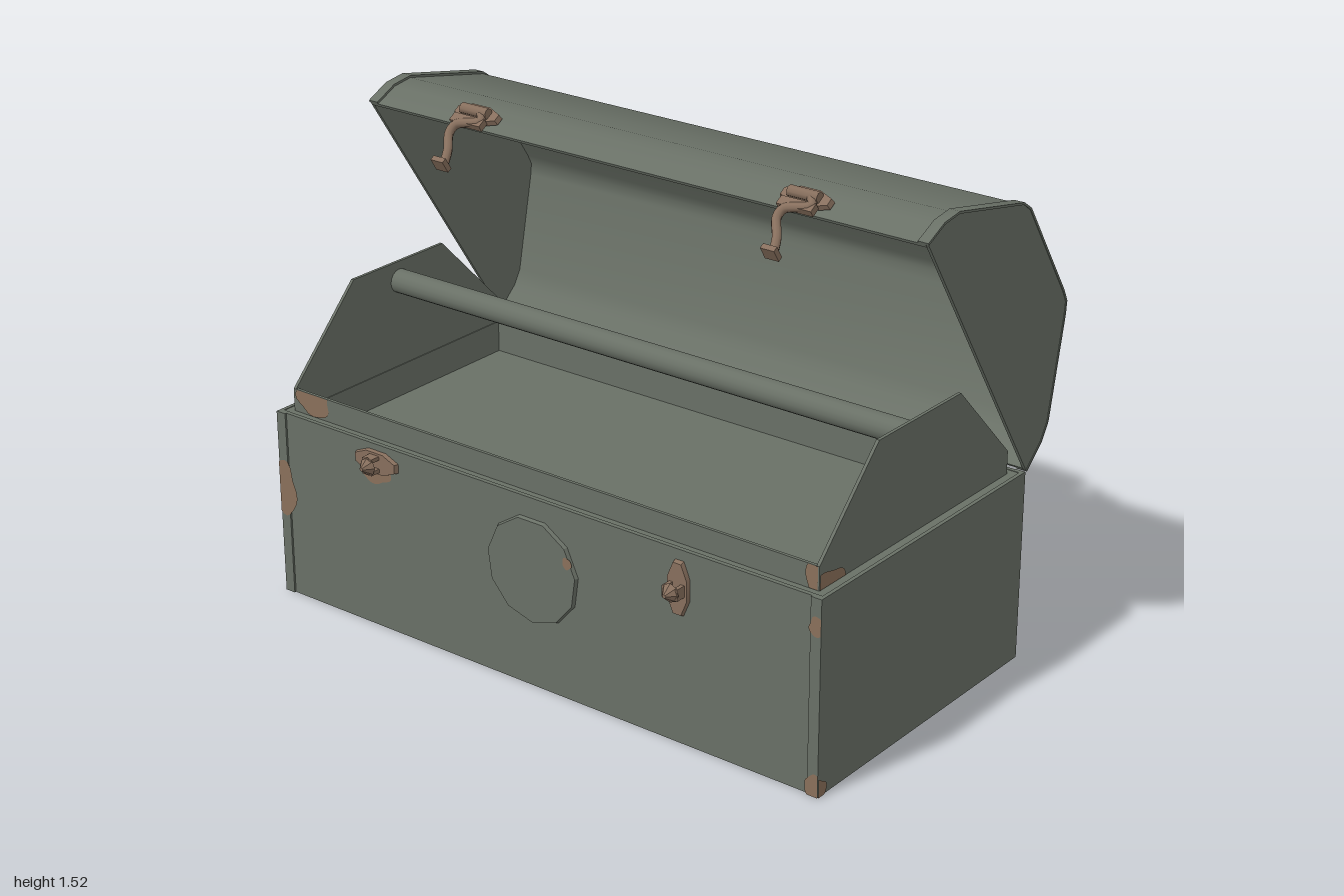
import * as THREE from 'three';
import { toCreasedNormals } from 'three/addons/utils/BufferGeometryUtils.js';

const mat = (name, color) => {
  const m = new THREE.MeshStandardMaterial({ color });
  m.name = name;
  return m;
};

export function createModel() {
  const green = mat('green paint', 0x697066);
  const brass = mat('worn metal', 0x876f5d);
  const tan = mat('worn grip', 0x877460);
  const red = mat('red grip', 0xc5302f);
  const cap = mat('grip cap', 0x636b61);
  const rust = mat('rust', 0x8a705a);
  const darkRust = mat('dark rust', 0x8c604e);

  const model = new THREE.Group();
  const add = (name, geo, material, parent = model) => {
    const m = new THREE.Mesh(geo, material);
    m.name = name;
    parent.add(m);
    return m;
  };
  const group = (name, x, y, z, parent = model) => {
    const g = new THREE.Group();
    g.name = name;
    g.position.set(x, y, z);
    parent.add(g);
    return g;
  };
  // box given by its minimum and maximum corners
  const box = (name, a, b, material = green, parent = model) => {
    const g = new THREE.BoxGeometry(b[0] - a[0], b[1] - a[1], b[2] - a[2]);
    g.translate((a[0] + b[0]) / 2, (a[1] + b[1]) / 2, (a[2] + b[2]) / 2);
    return add(name, g, material, parent);
  };
  // side profile of [z, y] points extruded along x
  const extrudeX = (pts, width, x = 0) => {
    const shape = new THREE.Shape(pts.map(p => new THREE.Vector2(...p)));
    const g = new THREE.ExtrudeGeometry(shape, { depth: width, bevelEnabled: false });
    g.translate(0, 0, -width / 2).rotateY(-Math.PI / 2).translate(x, 0, 0);
    return toCreasedNormals(g, 0.6);
  };
  const tube = (pts, r, seg = 24) => new THREE.TubeGeometry(
    new THREE.CatmullRomCurve3(pts.map(p => new THREE.Vector3(...p))), seg, r, 8);
  // long eight-sided plate with blunt ends, lying in xz
  const plate = (depth, thick) => toCreasedNormals(
    new THREE.CylinderGeometry(0.042, 0.045, thick, 8, 1, false, Math.PI / 8).scale(2, 1, depth), 0.5);

  // lower box
  box('boxFront', [-0.99, 0, 0.59], [0.99, 0.6, 0.604]);
  box('boxBack', [-0.99, 0, -0.398], [0.99, 0.6, -0.386]);
  box('boxBottom', [-0.99, 0.004, -0.39], [0.99, 0.016, 0.6]);
  box('rimFront', [-0.99, 0.588, 0.56], [0.99, 0.598, 0.6]);
  box('rimBack', [-0.99, 0.588, -0.39], [0.99, 0.598, -0.35]);
  for (const s of [-1, 1]) {
    const strip = (name, x0, x1, y0, y1, z0, z1) =>
      box(name, [Math.min(s * x0, s * x1), y0, z0], [Math.max(s * x0, s * x1), y1, z1]);
    strip('boxEnd', 0.988, 1, 0, 0.6, -0.4, 0.61);
    strip('endFlangeFront', 0.965, 1, 0, 0.6, 0.6, 0.61);
    strip('endFlangeBack', 0.965, 1, 0, 0.6, -0.401, -0.39);
    strip('rimEnd', 0.95, 0.99, 0.588, 0.598, -0.39, 0.6);
  }

  // raised round plate on the front
  const disc = new THREE.CylinderGeometry(0.163, 0.168, 0.012, 11);
  disc.rotateX(Math.PI / 2).translate(0, 0.375, 0.609);
  add('frontDisc', toCreasedNormals(disc, 0.3), green);

  // inner tray with tall ends and a cross rod
  const trayEnd = [[0.57, 0.49], [0.57, 0.67], [0.305, 0.94], [-0.095, 0.94], [-0.36, 0.67], [-0.36, 0.49]];
  for (const s of [-1, 1]) add('trayEnd', extrudeX(trayEnd, 0.01, s * 0.958), green);
  box('trayFront', [-0.955, 0.49, 0.56], [0.955, 0.67, 0.57]);
  box('trayBack', [-0.955, 0.49, -0.36], [0.955, 0.67, -0.35]);
  box('trayFloor', [-0.955, 0.485, -0.355], [0.955, 0.495, 0.565]);
  const rod = new THREE.CylinderGeometry(0.038, 0.038, 1.91, 16);
  add('trayRod', rod.rotateZ(Math.PI / 2).translate(0, 0.877, 0.105), green);

  // open lid
  const lid = group('lid', 0, 0, 0);
  const profile = [[0.155, 1.455], [0.08, 1.492], [0.01, 1.502], [-0.32, 1.434], [-0.355, 1.41],
    [-0.56, 1.105], [-0.578, 1.07], [-0.574, 1.03], [-0.51, 0.72], [-0.48, 0.67], [-0.405, 0.603]];
  // moves the profile along its outward normals
  const offset = d => profile.map((p, i) => {
    const a = profile[Math.max(i - 1, 0)], b = profile[Math.min(i + 1, profile.length - 1)];
    const tz = b[0] - a[0], ty = b[1] - a[1], l = Math.hypot(tz, ty);
    return [p[0] + d * ty / l, p[1] - d * tz / l];
  });
  add('lidSkin', extrudeX([...profile, ...offset(-0.01).reverse()], 1.98), green, lid);
  for (const s of [-1, 1]) {
    add('lidEnd', extrudeX(offset(0.006), 0.01, s * 0.993), green, lid);
    add('lidEndFlange', extrudeX([...offset(0.007), ...profile.slice().reverse()], 0.034, s * 0.983), green, lid);
  }

  // hinges
  for (const x of [-0.6, 0.6]) {
    const h = group('hinge', x, 0.6, -0.4);
    add('hingeBarrel', new THREE.CylinderGeometry(0.011, 0.011, 0.2, 8).rotateZ(Math.PI / 2).translate(0, 0, -0.01), green, h);
    box('hingeLeafLower', [-0.1, -0.07, -0.004], [0.1, 0, 0.004], green, h);
    const leaf = box('hingeLeafUpper', [-0.1, 0, -0.008], [0.1, 0.08, -0.001], green, h);
    leaf.rotation.x = -0.85;
  }

  // carrying handle
  const handle = group('handle', 0, 1.13, -0.62, lid);
  // turned section along x; the slanted border follows a rule near x = 0.06
  const turned = (name, pts, material) => {
    const g = new THREE.LatheGeometry(pts.map(([x, r]) => new THREE.Vector2(r, x)), 16);
    g.rotateZ(-Math.PI / 2);
    const p = g.attributes.position;
    for (let i = 0; i < p.count; i++)
      if (Math.abs(p.getX(i) - 0.06) < 1e-4) p.setX(i, 0.06 + 0.5 * p.getZ(i));
    add(name, g, material, handle);
  };
  turned('gripCapRight', [[-0.345, 0], [-0.34, 0.03], [-0.325, 0.044], [-0.275, 0.049]], cap);
  turned('gripRight', [[-0.275, 0.049], [-0.18, 0.057]], tan);
  turned('gripMiddle', [[-0.18, 0.057], [-0.06, 0.06], [0.06, 0.059]], red);
  turned('gripLeft', [[0.06, 0.059], [0.18, 0.056], [0.275, 0.049]], tan);
  turned('gripCapLeft', [[0.275, 0.049], [0.325, 0.044], [0.34, 0.03], [0.345, 0]], cap);
  for (const s of [-1, 1]) {
    const path = [[0.32, 0, 0], [0.39, 0.005, 0.005], [0.422, 0.025, 0.025], [0.41, 0.07, 0.075],
      [0.395, 0.1, 0.105], [0.41, 0.125, 0.13], [0.455, 0.13, 0.137]];
    add('handleWire', tube(path.map(([x, y, z]) => [s * x, y, z]), 0.01), brass, handle);
    const foot = group('handleFoot', s * 0.455, 0.122, 0.145, handle);
    foot.rotation.x = -0.98;
    const dome = new THREE.SphereGeometry(0.026, 10, 6, 0, Math.PI * 2, 0, Math.PI / 2);
    add('footDome', dome.scale(1.2, 1, 1), cap, foot);
    add('footPlate', new THREE.CylinderGeometry(0.04, 0.045, 0.012, 8).scale(1.1, 1, 0.7), brass, foot);
  }

  // lid latches: base plate, knuckle, claw and bent arm with hook
  for (const x of [-0.595, 0.585]) {
    const l = group('lidLatch', x, 1.488, 0.125, lid);
    l.rotation.x = 0.57;
    add('latchPlate', plate(0.75, 0.016), brass, l);
    add('latchKnuckle', new THREE.CylinderGeometry(0.017, 0.017, 0.1, 8).rotateZ(Math.PI / 2).translate(0, 0.016, 0), brass, l);
    add('latchArm', tube([[0.02, 0.016, 0], [0.04, 0.014, 0.03], [-0.035, 0.012, 0.06], [-0.04, 0.009, 0.09],
      [-0.005, 0.004, 0.15], [0.015, 0, 0.205]], 0.014), brass, l);
    box('latchCross', [-0.06, 0, 0.025], [0.055, 0.022, 0.055], brass, l);
    box('latchHook', [-0.008, -0.008, 0.198], [0.038, 0.035, 0.215], brass, l);
  }

  // turning staples on the front
  for (const [x, y, turn] of [[-0.595, 0.545, 0], [0.525, 0.485, Math.PI / 2]]) {
    const s = group('staple', x, y, 0.604);
    s.rotation.z = turn;
    add('staplePlate', plate(0.85, 0.014).rotateX(Math.PI / 2), brass, s).position.z = 0.006;
    for (const k of [-1, 1])
      box('staplePost', [-0.018, k * 0.02 - 0.006, 0.01], [0.018, k * 0.02 + 0.006, 0.046], brass, s);
    const tip = new THREE.CylinderGeometry(0.006, 0.029, 0.028, 8).rotateX(Math.PI / 2);
    add('stapleTip', toCreasedNormals(tip, 0.5), brass, s).position.z = 0.056;
  }

  // rust patches: wobbly flat shapes, clipped to [u0, u1, v0, v1]
  const patch = (u, v, ru, rv, rot, pos, clip, material = rust, rough = 0.08) => {
    const pts = [];
    for (let i = 0; i < 28; i++) {
      const a = i / 28 * Math.PI * 2;
      const r = 1 + rough * (Math.sin(3 * a + u * 9) + 0.8 * Math.sin(5 * a + v * 7));
      pts.push(new THREE.Vector2(
        THREE.MathUtils.clamp(u + ru * r * Math.cos(a), clip[0], clip[1]),
        THREE.MathUtils.clamp(v + rv * r * Math.sin(a), clip[2], clip[3])));
    }
    const m = add('rustPatch', new THREE.ShapeGeometry(new THREE.Shape(pts)), material);
    m.rotation.set(...rot);
    m.position.set(...pos);
  };
  const H = Math.PI / 2;
  const front = [0, 0, 0], back = [0, Math.PI, 0], left = [0, H, 0], right = [0, -H, 0], below = [H, 0, 0];
  const face = [-1, 1, 0, 0.6], endZ = [-0.61, 0.4, 0, 0.6], lip = [-0.96, 0.96, 0.6, 0.67];
  patch(-0.99, 0.35, 0.058, 0.09, front, [0, 0, 0.612], face);
  patch(0.992, 0.03, 0.036, 0.036, front, [0, 0, 0.612], face);
  patch(0.99, 0.515, 0.028, 0.03, front, [0, 0, 0.612], face);
  patch(-0.605, 0.51, 0.062, 0.036, front, [0, 0, 0.606], face);
  patch(0.135, 0.44, 0.017, 0.018, front, [0, 0, 0.617], face);
  patch(-0.88, 0.655, 0.066, 0.055, front, [0, 0, 0.573], lip);
  patch(0.955, 0.65, 0.035, 0.06, front, [0, 0, 0.573], lip);
  patch(-0.53, 0.6, 0.078, 0.044, left, [0.966, 0, 0], [-0.57, 0.36, 0.6, 0.67]);
  patch(-0.61, 0.015, 0.036, 0.042, left, [1.003, 0, 0], endZ);
  patch(0.6, 0.34, 0.065, 0.085, right, [-1.003, 0, 0], endZ.map((v, i) => i < 2 ? -endZ[1 - i] : v));
  patch(0.87, 0.03, 0.14, 0.055, back, [0, 0, -0.404], face);
  patch(-0.6, 0.51, 0.05, 0.025, back, [0, 0, -0.403], face);
  patch(0.67, 0.51, 0.085, 0.027, back, [0, 0, -0.403], face);
  const base = [-1, 1, -0.4, 0.61];
  patch(0.53, 0.13, 0.22, 0.2, below, [0, 0.001, 0], base, darkRust, 0.22);
  patch(-0.47, 0.05, 0.27, 0.24, below, [0, 0.001, 0], base, darkRust, 0.22);
  patch(-0.85, -0.31, 0.16, 0.17, below, [0, 0.001, 0], base, darkRust, 0.2);
  // spots inside the lid and beside a handle foot, tilted with the lid face
  const any = [-1, 1, -1, 1];
  patch(-0.45, 0, 0.034, 0.045, [0.594, 0, 0], [0, 1.248, -0.448], any);
  patch(-0.455, 0, 0.032, 0.05, [0.594, Math.PI, 0], [0, 1.289, -0.446], any);
  return model;
}
